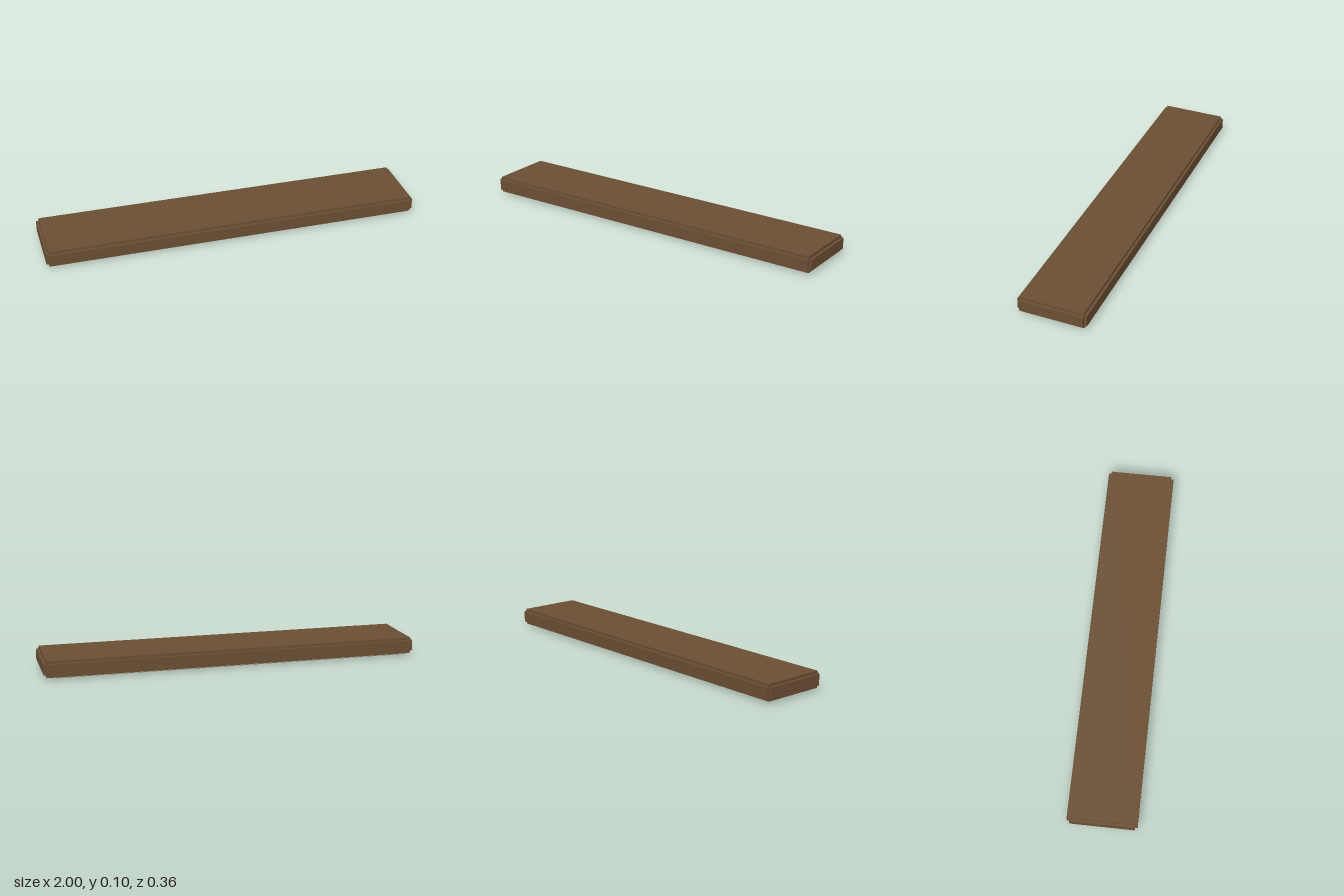
import * as THREE from 'three';

const wood = new THREE.MeshStandardMaterial({ color: 0x6b4f34 });
wood.name = 'brown wood';
const pale = new THREE.MeshStandardMaterial({ color: 0xc6c0aa });
pale.name = 'pale strip';

// Rounded bar running along x, with its profile in the zy plane
function stripGeometry(length, width, height) {
  const r = height / 2, w = width / 2 - r;
  const shape = new THREE.Shape();
  shape.moveTo(-w, -r);
  shape.lineTo(w, -r);
  shape.absarc(w, 0, r, -Math.PI / 2, Math.PI / 2, false);
  shape.lineTo(-w, r);
  shape.absarc(-w, 0, r, Math.PI / 2, Math.PI * 1.5, false);
  const geo = new THREE.ExtrudeGeometry(shape, { depth: length, bevelEnabled: false, curveSegments: 6 });
  geo.translate(0, 0, -length / 2);
  geo.rotateY(Math.PI / 2);
  return geo;
}

export function createModel() {
  const group = new THREE.Group();
  group.name = 'plank';

  // Three crossing blocks leave a square rebate along every edge of the plank
  const midY = 0.0545;
  const blocks = [
    ['core', 1.972, 0.088, 0.336],
    ['endFaces', 2.0, 0.058, 0.336],
    ['longSides', 1.972, 0.058, 0.364],
  ];
  for (const [name, x, y, z] of blocks) {
    const block = new THREE.Mesh(new THREE.BoxGeometry(x, y, z), wood);
    block.name = name;
    block.position.y = midY;
    group.add(block);
  }

  // Two slim strips under the plank
  const geo = stripGeometry(1.874, 0.021, 0.0105);
  for (const side of [1, -1]) {
    const strip = new THREE.Mesh(geo, pale);
    strip.name = side > 0 ? 'frontStrip' : 'backStrip';
    strip.position.set(0, 0.00525, side * 0.138);
    group.add(strip);
  }
  return group;
}
